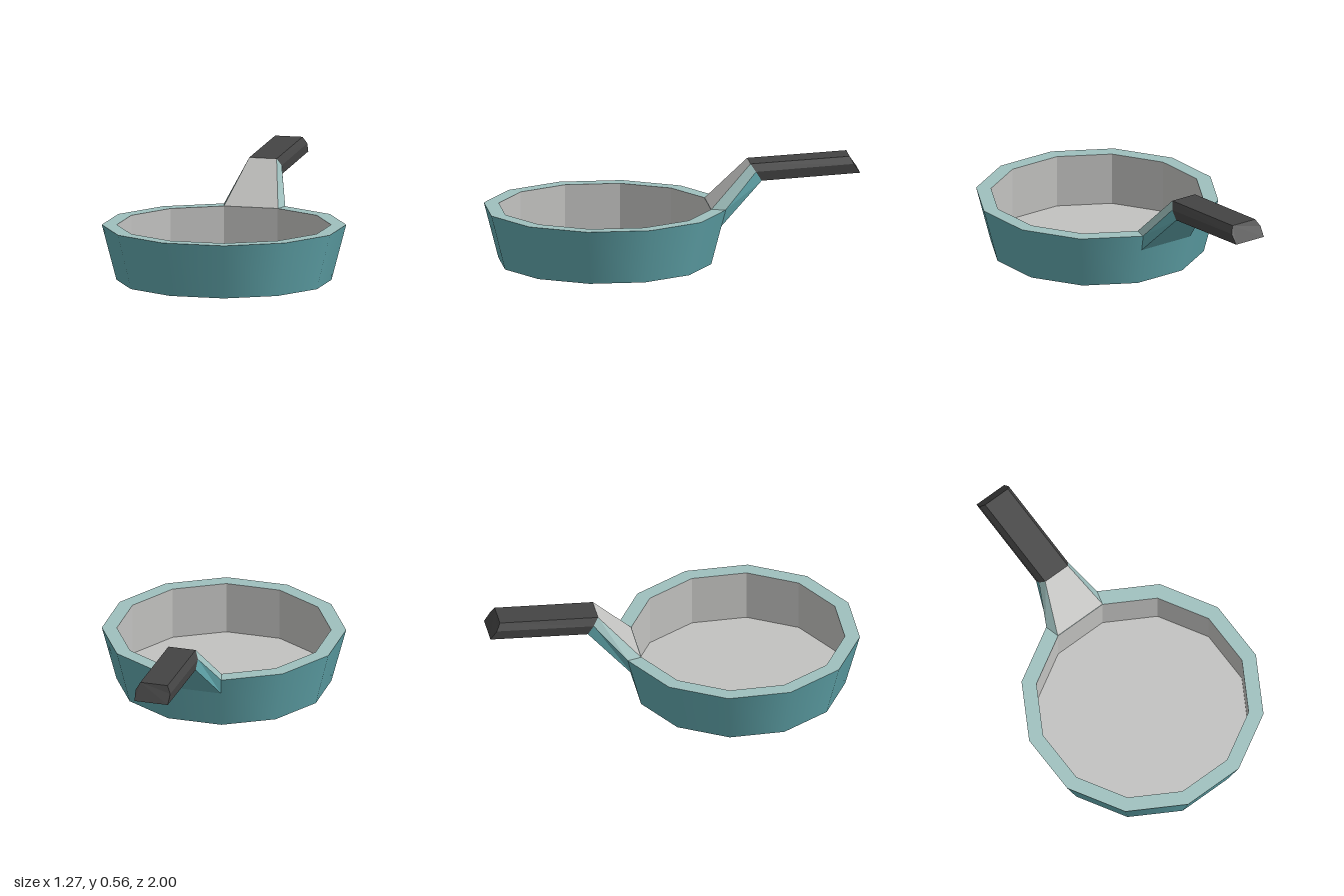
import * as THREE from 'three';

const SIDES = 12;
const PAN_Z = 0.367;
const apothem = (a) => a / Math.cos(Math.PI / SIDES);

const material = (name, color, side = THREE.FrontSide) => {
  const m = new THREE.MeshStandardMaterial({ color, side });
  m.name = name;
  return m;
};

export function createModel() {
  const teal = material('teal enamel', 0x62a8ae);
  const paleTeal = material('pale teal rim', 0x9fc0be);
  const grey = material('grey lining', 0xc2c2c0);
  const black = material('black grip', 0x444444);

  const model = new THREE.Group();
  model.name = 'fryingPan';

  const add = (name, geometry, mat) => {
    const mesh = new THREE.Mesh(geometry, mat);
    mesh.name = name;
    model.add(mesh);
  };

  // Twelve-sided band swept between two [radius, height] points
  const band = (from, to, smooth = false) => {
    const points = [from, to].map(([r, y]) => new THREE.Vector2(r, y));
    let geometry = new THREE.LatheGeometry(points, SIDES, Math.PI / SIDES);
    if (!smooth) {
      geometry = geometry.toNonIndexed();
      geometry.computeVertexNormals();
    }
    return geometry.translate(0, 0, PAN_Z);
  };

  // Pan body
  const base = apothem(0.557), top = apothem(0.633), inner = apothem(0.555);
  const height = 0.3, floor = 0.015;
  add('panBase', band([0, 0], [base, 0]), teal);
  add('outerWall', band([base, 0], [top, height], true), teal);
  add('rim', band([top, height], [inner, height]), paleTeal);
  add('innerWall', band([inner, height], [inner, floor]), grey);
  add('panFloor', band([inner, floor], [0, floor]), grey);

  // Six-sided cross-section: top, side and bottom pairs given as [half width, y, z]
  const ring = (cx, rows) => [
    ...rows.map(([w, y, z]) => [cx + w, y, z]),
    ...rows.slice().reverse().map(([w, y, z]) => [cx - w, y, z]),
  ];
  const flat = (points) => {
    const geometry = new THREE.BufferGeometry();
    geometry.setAttribute('position', new THREE.Float32BufferAttribute(points.flat(), 3));
    geometry.computeVertexNormals();
    return geometry;
  };
  // Faces joining chosen edges of two rings
  const loft = (a, b, edges) => edges.flatMap((i) => {
    const j = (i + 1) % 6;
    return [a[i], a[j], b[j], a[i], b[j], b[i]];
  });

  const root = ring(0, [[0.15, 0.3, -0.19], [0.17, 0.3, -0.265], [0.163, 0.21, -0.243]]);
  const joint = ring(0.007, [[0.076, 0.53, -0.41], [0.097, 0.49, -0.437], [0.093, 0.44, -0.468]]);
  const tip = ring(0.007, [[0.076, 0.558, -0.945], [0.097, 0.52, -0.965], [0.093, 0.47, -1]]);

  // Sloping neck between pan and grip
  add('neckTop', flat(loft(root, joint, [5])), grey);
  add('neckBevels', flat(loft(root, joint, [0, 4])), paleTeal);
  add('neckUnderside', flat(loft(root, joint, [1, 2, 3])), teal);

  // Grip with closed end
  const endCap = [1, 2, 3, 4].flatMap((i) => [tip[0], tip[i], tip[i + 1]]);
  add('grip', flat([...loft(joint, tip, [0, 1, 2, 3, 4, 5]), ...endCap]), black);

  return model;
}
